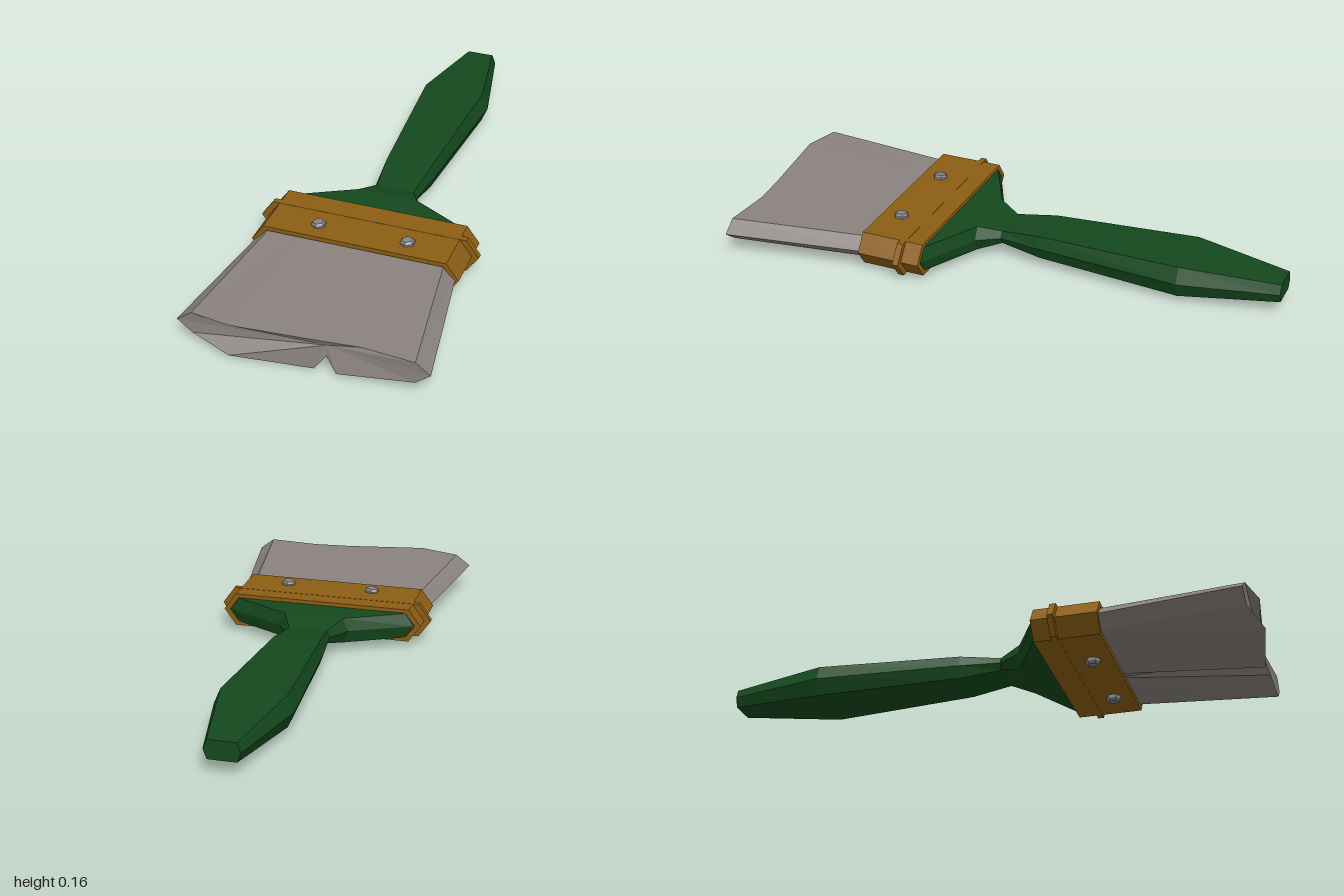
import * as THREE from 'three';

const MID_X = -0.012, MID_Y = 0.083;

const paint = (color) => new THREE.MeshStandardMaterial({ color, flatShading: true });

// Skin a list of rings (each counter-clockwise seen from +z); optional centre points close the ends.
function loft(rings, startCentre, endCentre) {
  const pos = [];
  const tri = (...pts) => pts.forEach((p) => pos.push(...p));
  const n = rings[0].length;
  for (let i = 0; i < n; i++) {
    const j = (i + 1) % n;
    for (let s = 0; s < rings.length - 1; s++) {
      const a = rings[s], b = rings[s + 1];
      tri(a[i], a[j], b[j]);
      tri(a[i], b[j], b[i]);
    }
    if (startCentre) tri(startCentre, rings[0][j], rings[0][i]);
    if (endCentre) tri(endCentre, rings.at(-1)[i], rings.at(-1)[j]);
  }
  const g = new THREE.BufferGeometry();
  g.setAttribute('position', new THREE.Float32BufferAttribute(pos, 3));
  g.computeVertexNormals();
  return g;
}

// Flattened hexagon pointed at both sides: z, half width, half width of the flat, half height.
function hexRing([z, w, f, h]) {
  return [[w, 0], [f, h], [-f, h], [-w, 0], [-f, -h], [f, -h]]
    .map(([x, y]) => [x + MID_X, y + MID_Y, z]);
}

function named(name, geometry, material) {
  const mesh = new THREE.Mesh(geometry, material);
  mesh.name = name;
  return mesh;
}

export function createModel() {
  const brush = new THREE.Group();
  brush.name = 'paintBrush';
  const green = paint(0x14481d), brass = paint(0x8c5e14);
  const hair = paint(0x8a827e), steel = paint(0x85858a);

  // Handle: swelling grip, thin neck, shoulders that widen into the ferrule
  const handle = [
    [-1.0, 0.063, 0.05, 0.034],
    [-0.65, 0.139, 0.115, 0.057],
    [-0.12, 0.1, 0.085, 0.043],
    [0.03, 0.082, 0.07, 0.024],
    [0.11, 0.133, 0.11, 0.047],
    [0.22, 0.352, 0.32, 0.047],
    [0.32, 0.352, 0.32, 0.047],
  ].map(hexRing);
  brush.add(named('handle', loft(handle, [MID_X, MID_Y, -1], [MID_X, MID_Y, 0.32]), green));

  // Ferrule: hollow band with a raised rib round its sides
  const ferrule = [
    [0.3, 0.356, 0.32, 0.048],
    [0.22, 0.356, 0.32, 0.048],
    [0.22, 0.378, 0.333, 0.062],
    [0.285, 0.378, 0.333, 0.062],
    [0.285, 0.403, 0.358, 0.063],
    [0.307, 0.403, 0.358, 0.063],
    [0.307, 0.378, 0.333, 0.062],
    [0.455, 0.378, 0.333, 0.062],
    [0.455, 0.358, 0.322, 0.046],
    [0.4, 0.358, 0.322, 0.046],
  ].map(hexRing);
  brush.add(named('ferrule', loft(ferrule), brass));

  // Bristles: flared tuft with a ragged, notched tip
  const tip = [
    [0.437, 0.083, 0.955], [0.385, 0.123, 0.955], [0.2, 0.123, 0.94], [0.06, 0.123, 0.953],
    [-0.24, 0.13, 0.985], [-0.385, 0.123, 0.957], [-0.44, 0.083, 0.955], [-0.385, 0.042, 0.957],
    [-0.24, 0.016, 0.998], [0.04, 0.005, 0.955], [0.08, 0.06, 0.945], [0.12, 0.01, 0.963],
    [0.385, 0.042, 0.955],
  ];
  const root = tip.map(([x, y], i) => [
    x * 0.815 + MID_X,
    i === 0 || i === 6 ? MID_Y : MID_Y + (i < 6 ? 0.042 : -0.042),
    0.4,
  ]);
  brush.add(named('bristles', loft([root, tip], [MID_X, MID_Y, 0.4], [0.08, 0.1, 0.94]), hair));

  // Rivets: slightly slanted hexagonal pins with chamfered heads on both faces
  const profile = [[0, -0.08], [0.02, -0.08], [0.027, -0.07], [0.027, 0.07], [0.02, 0.078], [0, 0.078]]
    .map(([r, y]) => new THREE.Vector2(r, y));
  for (const x of [-0.16, 0.166]) {
    const rivet = named('rivet', new THREE.LatheGeometry(profile, 6), steel);
    rivet.position.set(x, 0.081, 0.383);
    rivet.rotation.z = 0.11;
    brush.add(rivet);
  }
  return brush;
}
